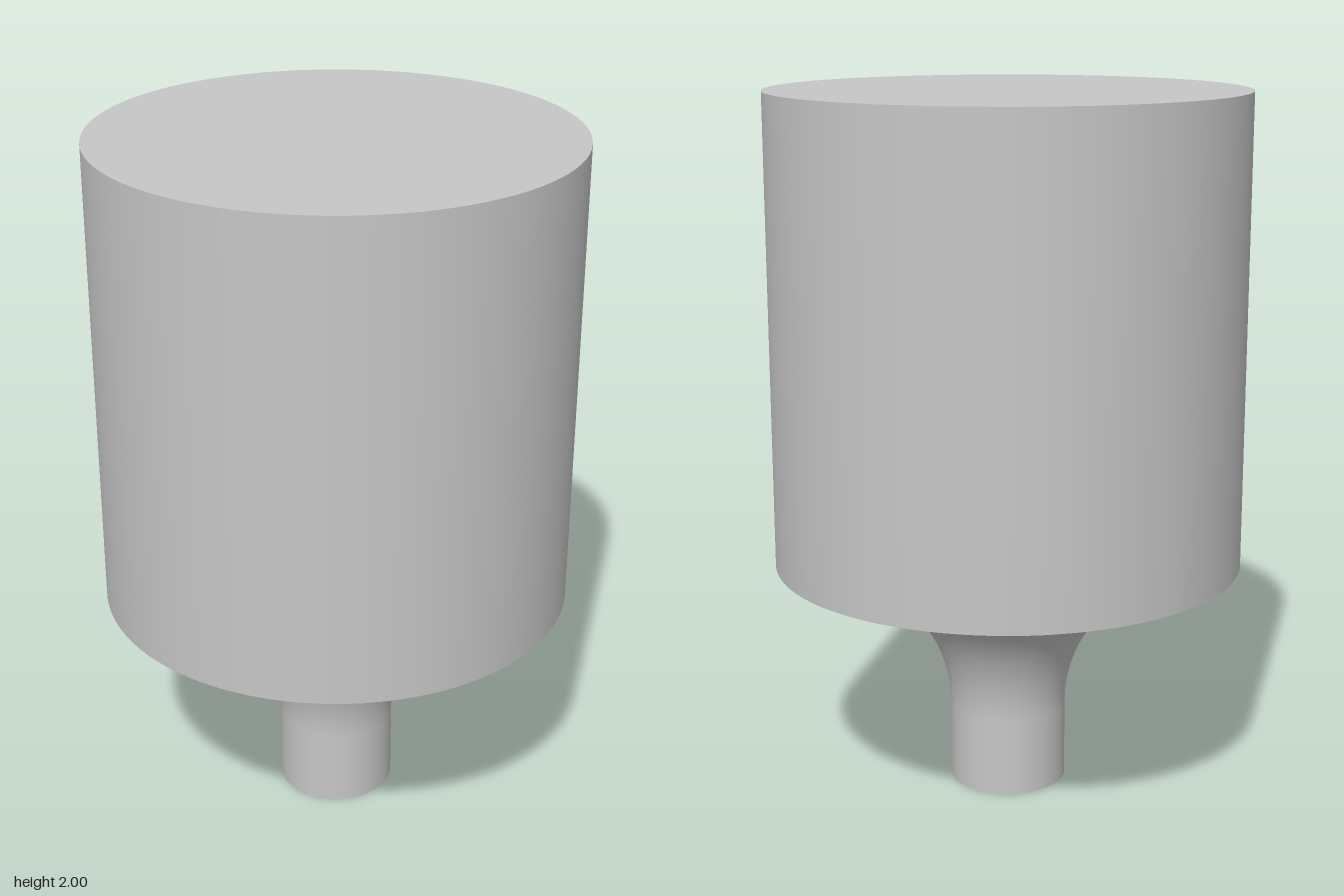
import * as THREE from 'three';

const SEGMENTS = 96;
const BODY_R = 0.667, NECK_R = 0.167, BORE_R = 0.067;
const TOP = 2, SHOULDER_Y = 0.667, FILLET_R = 0.445;

export function createModel() {
  const model = new THREE.Group();
  model.name = 'turnedStud';
  const grey = new THREE.MeshStandardMaterial({ color: 0xc6c6c6 });
  grey.name = 'plain grey';

  // Each smooth run of the profile is its own lathe, so edges between runs stay sharp
  const turn = (name, points) => {
    const profile = points.map(([r, y]) => new THREE.Vector2(r, y));
    const mesh = new THREE.Mesh(new THREE.LatheGeometry(profile, SEGMENTS), grey);
    mesh.name = name;
    model.add(mesh);
  };

  // Blind bore up through the neck
  turn('boreEnd', [[0, SHOULDER_Y], [BORE_R, SHOULDER_Y]]);
  turn('boreWall', [[BORE_R, SHOULDER_Y], [BORE_R, 0]]);
  turn('neckEnd', [[BORE_R, 0], [NECK_R, 0]]);

  // Straight neck flaring through a quarter-circle fillet into the flat underside
  const flare = [[NECK_R, 0]];
  const steps = 32;
  for (let i = 0; i <= steps; i++) {
    const a = (i / steps) * Math.PI / 2;
    flare.push([
      NECK_R + FILLET_R * (1 - Math.cos(a)),
      SHOULDER_Y - FILLET_R * (1 - Math.sin(a)),
    ]);
  }
  flare.push([BODY_R, SHOULDER_Y]);
  turn('neckAndFlare', flare);

  // Main cylinder and its flat top
  turn('bodyWall', [[BODY_R, SHOULDER_Y], [BODY_R, TOP]]);
  turn('bodyTop', [[BODY_R, TOP], [0, TOP]]);

  return model;
}
